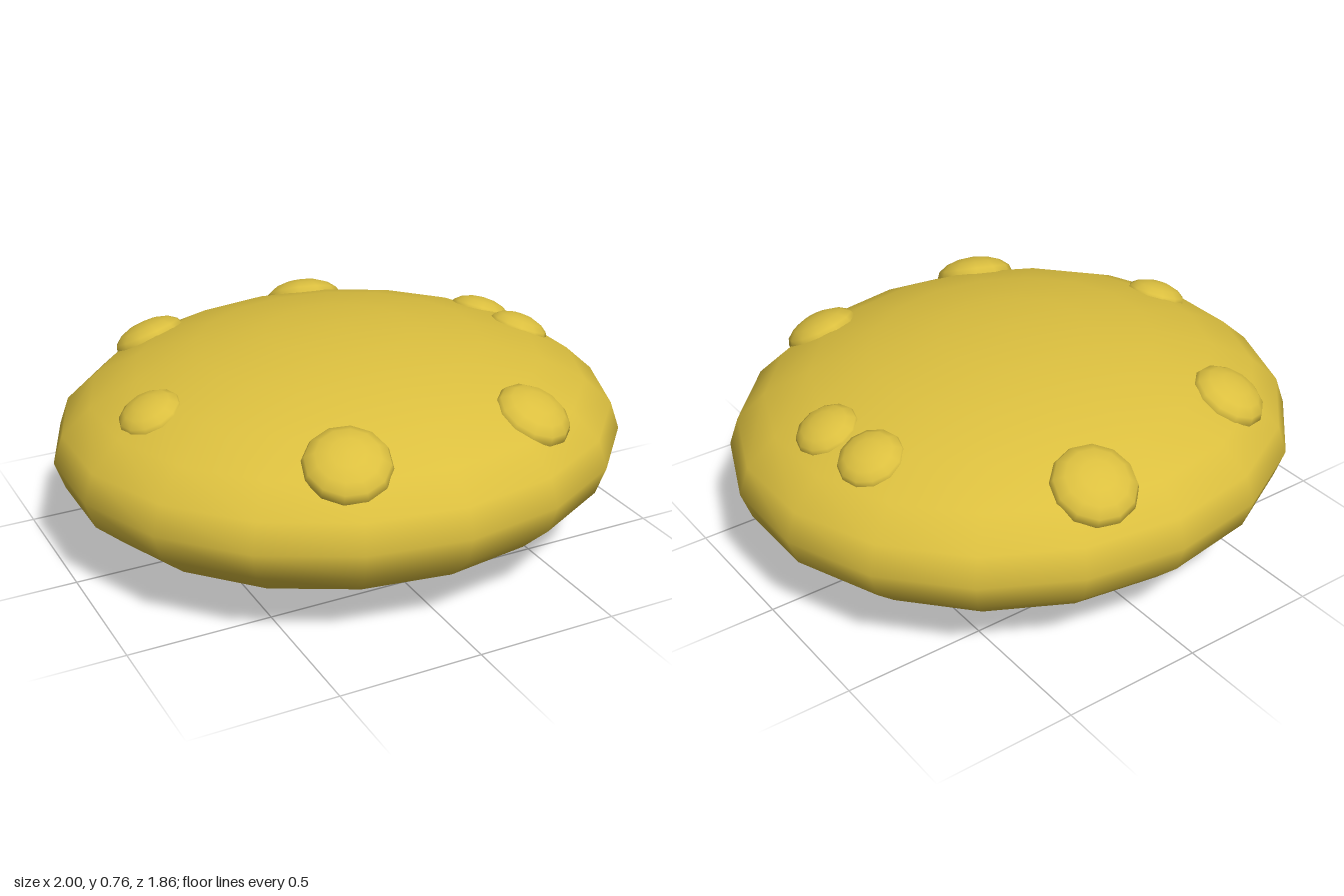
import * as THREE from 'three';

const RX = 1.015, RY = 0.38, RZ = 0.93; // body radii

export function createModel() {
  const model = new THREE.Group();
  model.name = 'bumpyPebble';
  const yellow = new THREE.MeshStandardMaterial({ color: 0xdbbf3f });
  yellow.name = 'mustard yellow';

  // Flattened body, with vertices of its 18 sides on the z axis
  const bodyShape = new THREE.SphereGeometry(1, 18, 12);
  bodyShape.rotateY(Math.PI / 2);
  bodyShape.scale(RX, RY, RZ);
  const body = new THREE.Mesh(bodyShape, yellow);
  body.name = 'body';
  body.position.y = RY;
  model.add(body);

  // Flattened bumps lying along the upper surface: x, z, radius
  const bumps = [
    [-0.31, 0.675, 0.147], [0.395, 0.63, 0.136],
    [-0.485, -0.575, 0.136], [0.206, -0.717, 0.147],
    [0.71, -0.22, 0.115], [0.74, 0, 0.112], [-0.735, 0.1, 0.112],
  ];
  const bumpShape = new THREE.SphereGeometry(1, 12, 8);
  const up = new THREE.Vector3(0, 1, 0);
  bumps.forEach(([x, z, r], i) => {
    const h = RY * Math.sqrt(1 - (x / RX) ** 2 - (z / RZ) ** 2);
    const normal = new THREE.Vector3(x / RX ** 2, h / RY ** 2, z / RZ ** 2).normalize();
    const bump = new THREE.Mesh(bumpShape, yellow);
    bump.name = `bump${i + 1}`;
    bump.position.set(x, RY + h - 0.023, z);
    bump.quaternion.setFromUnitVectors(up, normal);
    bump.scale.set(r, r * 0.5, r);
    model.add(bump);
  });

  return model;
}
